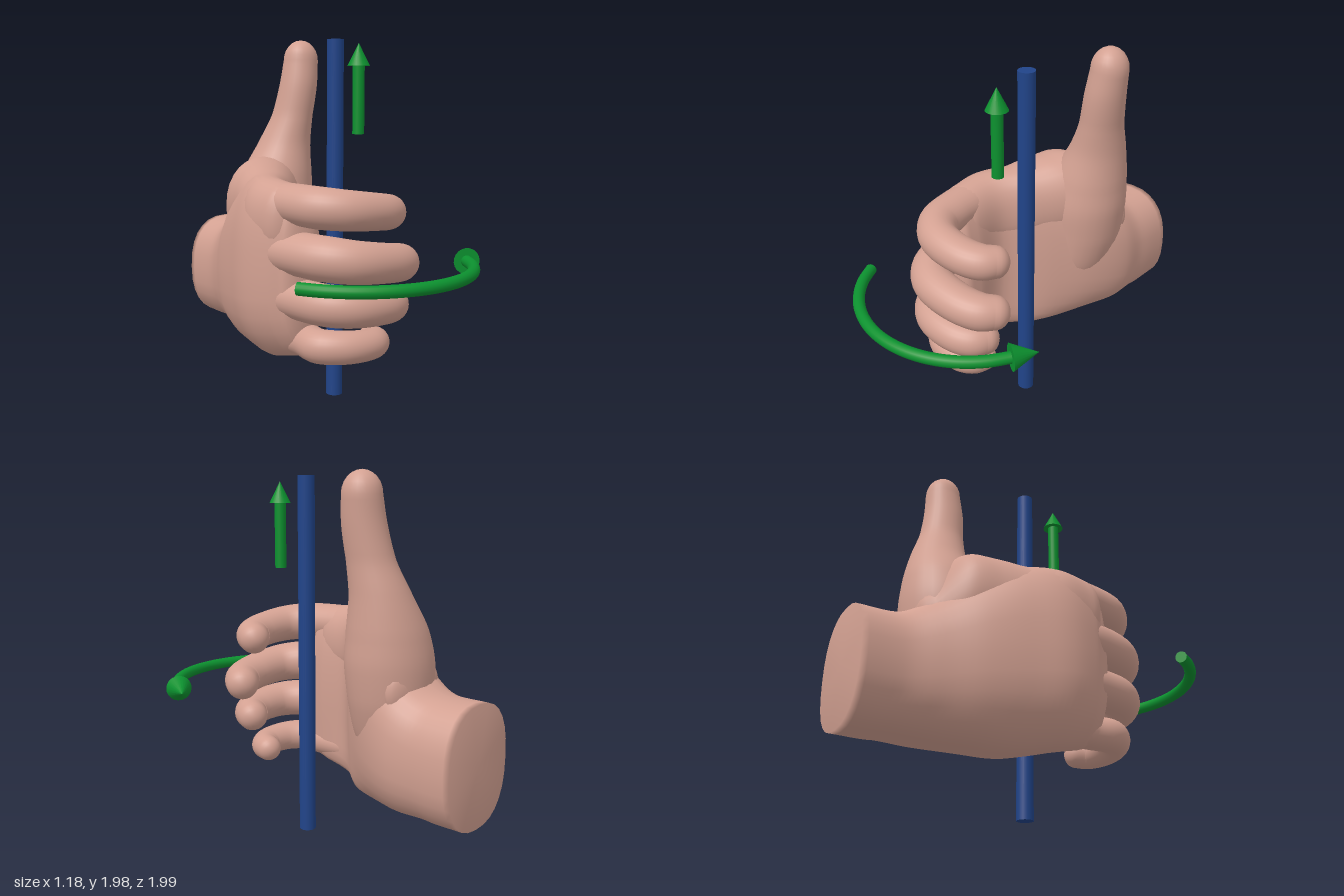
import * as THREE from 'three';

const X = new THREE.Vector3(1, 0, 0), Y = new THREE.Vector3(0, 1, 0), Z = new THREE.Vector3(0, 0, 1);
const SIDES = 28;

// Loft of (super)elliptical sections; rows are [x, y, z, halfWidth, halfHeight].
// dir fixes the section normal, otherwise sections follow the path; round ends get a dome.
function sweep(rows, { ref, dir = null, power = 2, steps = 30, roundStart = 0, roundEnd = 0 }) {
  const path = new THREE.CatmullRomCurve3(rows.map(r => new THREE.Vector3(r[0], r[1], r[2])));
  const size = new THREE.CatmullRomCurve3(rows.map(r => new THREE.Vector3(r[3], r[4], 0)));
  const sections = [];
  const add = (t, shift, scale) => {
    const n = dir ? dir.clone() : path.getTangent(t);
    const s = size.getPoint(t);
    const u = new THREE.Vector3().crossVectors(ref, n).normalize();
    const v = new THREE.Vector3().crossVectors(n, u);
    sections.push({ c: path.getPoint(t).addScaledVector(n, shift), u, v, a: s.x * scale, b: s.y * scale });
  };
  const D = 6;
  if (roundStart) for (let k = D - 1; k > 0; k--) {
    const q = k / D * Math.PI / 2;
    add(0, -roundStart * Math.sin(q), Math.cos(q));
  }
  for (let i = 0; i <= steps; i++) add(i / steps, 0, 1);
  if (roundEnd) for (let k = 1; k < D; k++) {
    const q = k / D * Math.PI / 2;
    add(1, roundEnd * Math.sin(q), Math.cos(q));
  }
  const pos = [], idx = [];
  const bend = w => Math.sign(w) * Math.pow(Math.abs(w), 2 / power);
  for (const s of sections) {
    for (let j = 0; j < SIDES; j++) {
      const q = j / SIDES * Math.PI * 2;
      const p = s.c.clone().addScaledVector(s.u, s.a * bend(Math.cos(q))).addScaledVector(s.v, s.b * bend(Math.sin(q)));
      pos.push(p.x, p.y, p.z);
    }
  }
  const last = sections.length - 1;
  const pole = (t, shift) => {
    const p = path.getPoint(t).addScaledVector(dir || path.getTangent(t), shift);
    pos.push(p.x, p.y, p.z);
    return pos.length / 3 - 1;
  };
  const p0 = pole(0, -roundStart), p1 = pole(1, roundEnd);
  for (let j = 0; j < SIDES; j++) {
    const k = (j + 1) % SIDES;
    for (let i = 0; i < last; i++) {
      const a = i * SIDES + j, b = i * SIDES + k;
      idx.push(a, b, a + SIDES, b, b + SIDES, a + SIDES);
    }
    idx.push(p0, k, j, p1, last * SIDES + j, last * SIDES + k);
  }
  const g = new THREE.BufferGeometry();
  g.setAttribute('position', new THREE.Float32BufferAttribute(pos, 3));
  g.setIndex(idx);
  g.computeVertexNormals();
  return g;
}

export function createModel() {
  const model = new THREE.Group();
  model.name = 'handGripRule';
  const skin = new THREE.MeshStandardMaterial({ color: 0xd3a192 });
  skin.name = 'skin';
  const blue = new THREE.MeshStandardMaterial({ color: 0x214489 });
  blue.name = 'rodBlue';
  const green = new THREE.MeshStandardMaterial({ color: 0x0c912f });
  green.name = 'arrowGreen';
  const part = (name, geometry, material, parent = model) => {
    const m = new THREE.Mesh(geometry, material);
    m.name = name;
    parent.add(m);
    return m;
  };

  const hand = new THREE.Group();
  hand.name = 'hand';
  model.add(hand);

  // Wrist and palm, from the cut wrist forward to the knuckles
  const palm = sweep([
    [0.038, 0.59, -0.99, 0.252, 0.312],
    [0.035, 0.595, -0.78, 0.25, 0.315],
    [0.01, 0.635, -0.6, 0.28, 0.365],
    [-0.075, 0.695, -0.4, 0.285, 0.445],
    [-0.185, 0.735, -0.2, 0.24, 0.5],
    [-0.305, 0.75, 0, 0.167, 0.485],
    [-0.292, 0.76, 0.17, 0.15, 0.455],
    [-0.275, 0.76, 0.24, 0.125, 0.43],
  ], { ref: Y, dir: Z, power: 2.4, steps: 42, roundEnd: 0.06 });
  // Tuck the little-finger edge of the hand inward
  const pp = palm.attributes.position;
  for (let i = 0; i < pp.count; i++) {
    const low = Math.max(0, 0.6 - pp.getY(i));
    pp.setX(i, pp.getX(i) + 0.7 * low * low * THREE.MathUtils.smoothstep(pp.getZ(i), -0.5, 0));
  }
  palm.computeVertexNormals();
  part('palm', palm, skin, hand);

  // Thumb, its ball sinking gradually into the palm
  part('thumb', sweep([
    [0.0, 0.5, -0.46, 0.14, 0.15],
    [0.03, 0.66, -0.46, 0.185, 0.19],
    [0.05, 0.84, -0.47, 0.22, 0.215],
    [0.06, 1.02, -0.47, 0.235, 0.225],
    [0.085, 1.2, -0.472, 0.21, 0.203],
    [0.135, 1.38, -0.465, 0.153, 0.157],
    [0.175, 1.55, -0.435, 0.116, 0.125],
    [0.203, 1.72, -0.415, 0.108, 0.113],
    [0.222, 1.86, -0.415, 0.1, 0.1],
  ], { ref: Z, dir: Y, steps: 44, roundStart: 0.12, roundEnd: 0.115 }), skin, hand);

  // Broad web filling the back of the hand between thumb and forefinger
  part('thumbWeb', sweep([
    [0.05, 0.92, -0.6, 0.2, 0.16],
    [-0.035, 1.04, -0.45, 0.245, 0.26],
    [-0.1, 1.06, -0.3, 0.225, 0.235],
    [-0.19, 1.04, -0.15, 0.19, 0.215],
    [-0.29, 1.02, 0, 0.155, 0.22],
    [-0.3, 1.02, 0.16, 0.138, 0.2],
  ], { ref: Y, dir: Z, power: 2.2, steps: 36, roundStart: 0.08, roundEnd: 0.1 }), skin, hand);

  // Four curled fingers: root height, tip height, radius, forward reach, tip x, knuckle x
  const fingers = [
    ['indexFinger', 1.115, 1.06, 0.1, 0.48, 0.25, -0.31],
    ['middleFinger', 0.87, 0.8, 0.107, 0.535, 0.3, -0.33],
    ['ringFinger', 0.635, 0.595, 0.1, 0.535, 0.22, -0.32],
    ['littleFinger', 0.41, 0.395, 0.083, 0.475, 0.14, -0.265],
  ];
  for (const [name, y0, y1, r, reach, tip, kx] of fingers) {
    const end = tip - r * 0.75;
    const y = t => y0 + (y1 - y0) * t;
    part(name, sweep([
      [kx + 0.01, y0, 0.06, r * 1.15, r * 1.05],
      [kx + 0.025, y0, 0.24, r * 1.12, r * 1.05],
      [-0.25, y(0.1), reach - 0.1, r * 1.08, r * 1.06],
      [-0.15, y(0.3), reach - 0.01, r * 1.03, r * 1.02],
      [end * 0.4 - 0.04, y(0.65), reach + 0.005, r, r * 0.95],
      [end * 0.8 - 0.01, y(0.88), reach - 0.03, r * 0.95, r * 0.92],
      [end, y1, reach - 0.085, r * 0.85, r * 0.85],
    ], { ref: Y, steps: 36, roundStart: r * 0.6, roundEnd: r * 0.75 }), skin, hand);
  }

  // Straight upright rod
  part('rod', new THREE.CylinderGeometry(0.045, 0.045, 1.95, 24), blue).position.set(0.09, 0.975, 0.07);

  // Upward arrow
  const upArrow = new THREE.Group();
  upArrow.name = 'upArrow';
  upArrow.position.set(0.082, 0, 0.27);
  model.add(upArrow);
  part('upArrowShaft', new THREE.CylinderGeometry(0.031, 0.031, 0.36, 20), green, upArrow).position.y = 1.638;
  part('upArrowHead', new THREE.ConeGeometry(0.058, 0.115, 20), green, upArrow).position.y = 1.863;

  // Curved arrow sweeping round the fingers
  const curvedArrow = new THREE.Group();
  curvedArrow.name = 'curvedArrow';
  curvedArrow.position.set(-0.017, 0.795, 0.365);
  model.add(curvedArrow);
  const R = 0.602, a0 = 2.715, a1 = 0.49;
  const arc = [];
  for (let i = 0; i <= 12; i++) {
    const a = a0 + (a1 - a0) * i / 12;
    arc.push(new THREE.Vector3(R * Math.cos(a), 0, R * Math.sin(a)));
  }
  const curve = new THREE.CatmullRomCurve3(arc);
  part('curvedArrowShaft', new THREE.TubeGeometry(curve, 48, 0.031, 16), green, curvedArrow);
  const tail = part('curvedArrowTail', new THREE.CircleGeometry(0.031, 16), green, curvedArrow);
  tail.position.copy(arc[0]);
  tail.quaternion.setFromUnitVectors(Z, curve.getTangent(0).negate());
  const head = part('curvedArrowHead', new THREE.ConeGeometry(0.07, 0.14, 20), green, curvedArrow);
  const aim = X.clone().multiplyScalar(0.52).addScaledVector(Z, -0.854).normalize();
  head.position.copy(arc[12]).addScaledVector(aim, 0.07);
  head.quaternion.setFromUnitVectors(Y, aim);
  return model;
}
